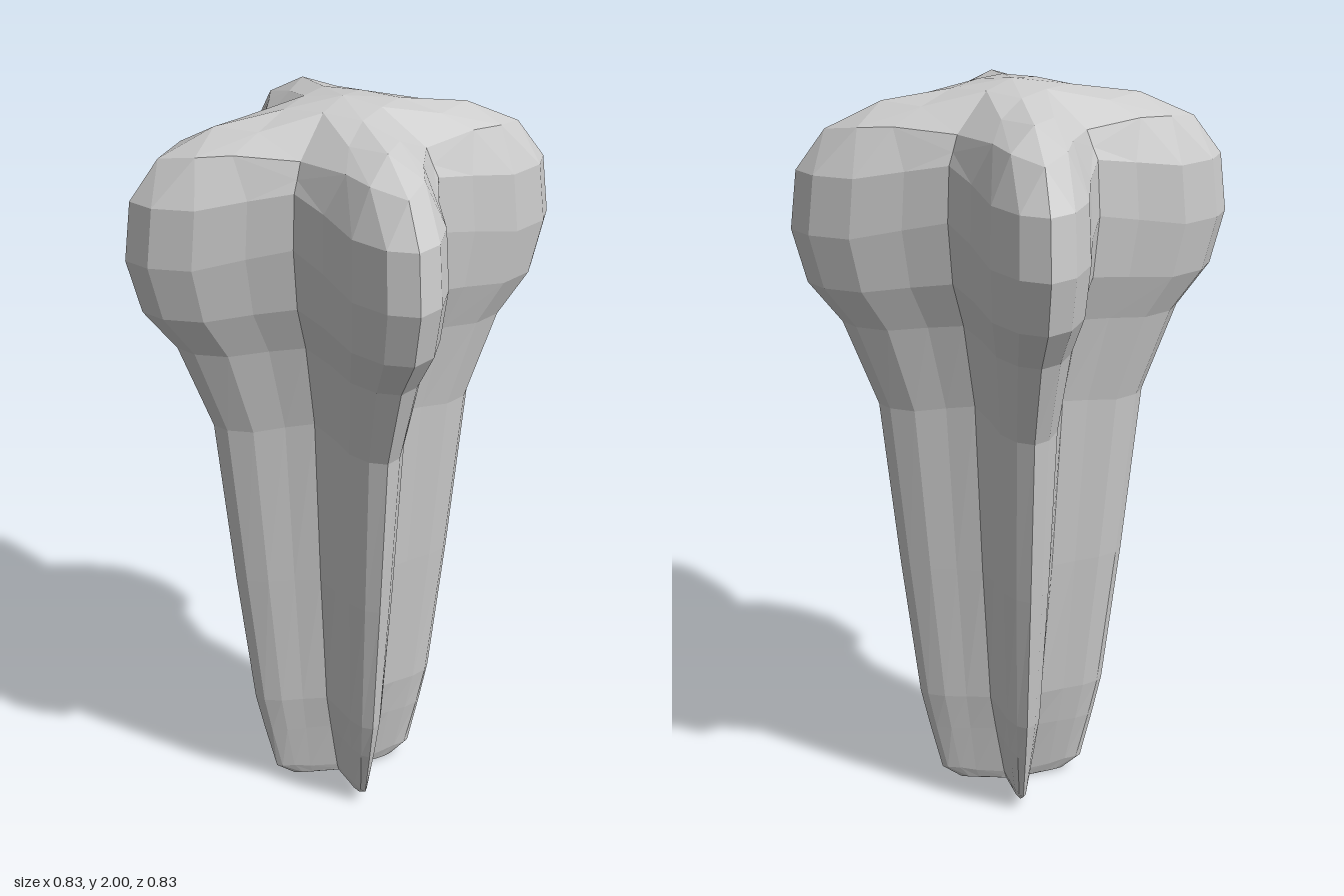
import * as THREE from 'three';

// One eighth of the crown grid: [x, z, y] for rows i = 0..4, columns j = 0..i
const GRID = [
  [[0, 0, 2]],
  [[0.105, 0, 1.985], [0.105, 0.105, 1.98]],
  [[0.225, 0, 1.9], [0.21, 0.12, 1.95], [0.23, 0.23, 1.955]],
  [[0.243, 0, 1.86], [0.285, 0.15, 1.91], [0.325, 0.23, 1.905], [0.33, 0.33, 1.89]],
  [[0.267, 0, 1.82], [0.315, 0.105, 1.81], [0.385, 0.215, 1.8], [0.415, 0.32, 1.79], [0.395, 0.395, 1.78]],
];

// Wall rings from top to bottom: [y, half width, lobe thickness, lift of the groove]
const RINGS = [
  [1.79, 0.402, 1, 0.04],
  [1.64, 0.415, 1, 0.05],
  [1.5, 0.388, 1, 0.03],
  [1.39, 0.325, 0.99, 0.02],
  [1.16, 0.26, 0.97, 0.02],
  [0.7, 0.225, 0.92, 0],
  [0.3, 0.19, 0.82, 0],
  [0.19, 0.172, 0.68, 0],
  [0.05, 0.147, 0.38, -0.02],
];
const FOOT_Y = [0.01, 0.01, 0.005, 0.012];

// Grid point (i, j), mirrored into all eighths, scaled, with the lobe thinned about its diagonal
function place(i, j, scale, thick, yOf) {
  const a = Math.max(Math.abs(i), Math.abs(j));
  const b = Math.min(Math.abs(i), Math.abs(j));
  let [p, q, y] = GRID[a][b];
  if (b === 0) p *= thick;
  else {
    const u = (p + q) / 2, v = ((p - q) / 2) * thick;
    p = u + v;
    q = u - v;
  }
  const [x, z] = Math.abs(i) >= Math.abs(j) ? [p, q] : [q, p];
  return [Math.sign(i) * x * scale, yOf(a, b, y), Math.sign(j) * z * scale];
}

// The 32 border positions of the 9 x 9 grid, counterclockwise from above
const BORDER = [];
for (let t = 0; t < 8; t++) BORDER.push([4, 4 - t]);
for (let t = 0; t < 8; t++) BORDER.push([4 - t, -4]);
for (let t = 0; t < 8; t++) BORDER.push([-4, -4 + t]);
for (let t = 0; t < 8; t++) BORDER.push([-4 + t, 4]);

function ringPoint([y, w, thick, lift], i, j) {
  return place(i, j, w / 0.415, thick, (a, b) => y + (b === 0 ? lift : b === 1 ? lift / 2 : 0));
}

function buildBody() {
  const pos = [];
  const quad = (a, b, c, d) => pos.push(...a, ...b, ...c, ...a, ...c, ...d);

  // Fluted wall
  for (let r = 0; r < RINGS.length - 1; r++) {
    BORDER.forEach((p, k) => {
      const n = BORDER[(k + 1) % BORDER.length];
      quad(ringPoint(RINGS[r + 1], ...p), ringPoint(RINGS[r + 1], ...n),
        ringPoint(RINGS[r], ...n), ringPoint(RINGS[r], ...p));
    });
  }

  // Crown and foot caps share the grid; their borders are the end rings
  const last = RINGS[RINGS.length - 1];
  const isEdge = (i, j) => Math.max(Math.abs(i), Math.abs(j)) === 4;
  const crown = (i, j) => isEdge(i, j) ? ringPoint(RINGS[0], i, j)
    : place(i, j, 1, 1, (a, b, y) => y);
  const foot = (i, j) => isEdge(i, j) ? ringPoint(last, i, j)
    : place(i, j, 0.31, last[2], (a) => FOOT_Y[a]);
  for (let i = -4; i < 4; i++) {
    for (let j = -4; j < 4; j++) {
      const cell = [[i, j], [i, j + 1], [i + 1, j + 1], [i + 1, j]];
      // Split each cell along its lobe's diagonal
      if ((i + 0.5) * (j + 0.5) < 0) cell.push(cell.shift());
      quad(...cell.map((c) => crown(...c)));
      const [a, b, c, d] = cell.map((e) => foot(...e));
      quad(a, d, c, b);
    }
  }

  const geo = new THREE.BufferGeometry();
  geo.setAttribute('position', new THREE.Float32BufferAttribute(pos, 3));
  geo.computeVertexNormals();
  return geo;
}

export function createModel() {
  const group = new THREE.Group();
  group.name = 'lobedPost';
  const body = new THREE.Mesh(buildBody(),
    new THREE.MeshStandardMaterial({ color: 0xcccccc, flatShading: true }));
  body.name = 'fourLobedBody';
  group.add(body);
  return group;
}
